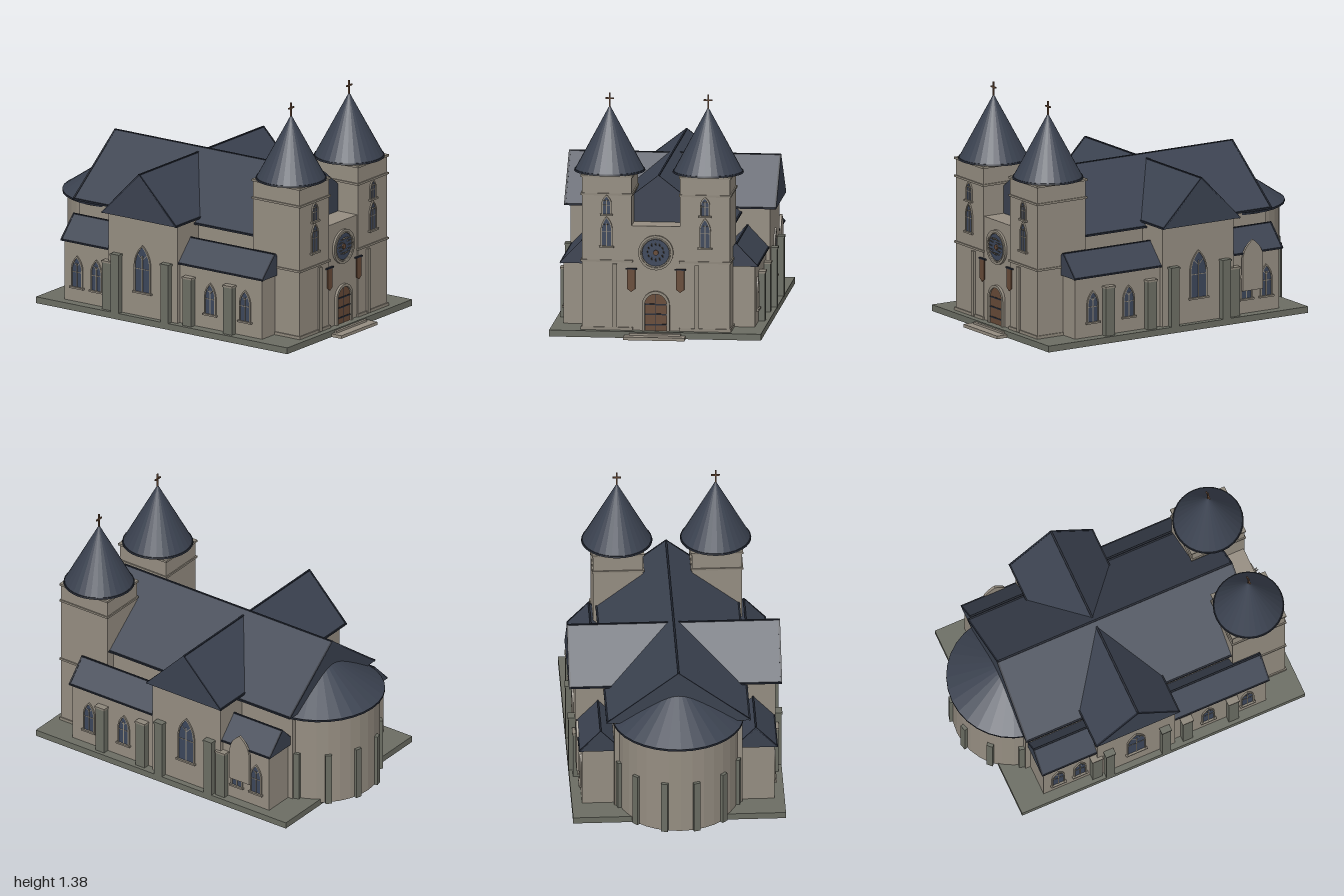
import * as THREE from 'three';

const mat = (name, color) => {
  const m = new THREE.MeshStandardMaterial({ color });
  m.name = name;
  return m;
};

export function createModel() {
  const stone = mat('wall stone', 0x958d81);
  const trimStone = mat('trim stone', 0x8d867a);
  const grey = mat('grey stone', 0x6b6d63);
  const slate = mat('roof slate', 0x3b4250);
  const edge = mat('dark roof edge', 0x232833);
  const glass = mat('window glass', 0x3c465a);
  const wood = mat('brown wood', 0x674a37);

  const root = new THREE.Group();
  root.name = 'church';

  const add = (parent, name, geo, material, x = 0, y = 0, z = 0) => {
    const m = new THREE.Mesh(geo, material);
    m.name = name;
    m.position.set(x, y, z);
    parent.add(m);
    return m;
  };
  // box given by its extents
  const box = (parent, name, material, x0, x1, y0, y1, z0, z1) =>
    add(parent, name, new THREE.BoxGeometry(x1 - x0, y1 - y0, z1 - z0), material,
      (x0 + x1) / 2, (y0 + y1) / 2, (z0 + z1) / 2);
  const group = (name, parent = root) => {
    const g = new THREE.Group();
    g.name = name;
    parent.add(g);
    return g;
  };
  // square bar between two points
  const bar = (parent, name, material, a, b, t) => {
    const p = new THREE.Vector3(...a), q = new THREE.Vector3(...b);
    const m = add(parent, name, new THREE.BoxGeometry(t, t, p.distanceTo(q) + t * 0.6), material);
    m.position.copy(p).add(q).multiplyScalar(0.5);
    m.lookAt(q);
    return m;
  };
  const faceted = (geo) => {
    const g = geo.toNonIndexed();
    g.computeVertexNormals();
    return g;
  };
  const extrude = (shape, depth) =>
    new THREE.ExtrudeGeometry(shape, { depth, bevelEnabled: false, curveSegments: 10 });

  // pointed arch outline standing on y = 0
  const arch = (w, h, spring, Kind = THREE.Shape) => {
    const s = new Kind();
    s.moveTo(-w, 0);
    s.lineTo(w, 0);
    s.lineTo(w, spring);
    s.quadraticCurveTo(w * 0.92, spring + (h - spring) * 0.6, 0, h);
    s.quadraticCurveTo(-w * 0.92, spring + (h - spring) * 0.6, -w, spring);
    return s;
  };

  // closed gabled roof running along z, with dark edging
  const gableRoof = (name, half, y0, y1, z0, z1, t = 0.01) => {
    const g = group(name);
    const s = new THREE.Shape();
    s.moveTo(-half, y0);
    s.lineTo(half, y0);
    s.lineTo(0, y1);
    add(g, 'roofSlopes', extrude(s, z1 - z0), slate, 0, 0, z0);
    const i = t / 2;
    bar(g, 'ridge', edge, [0, y1 - i, z0 + i], [0, y1 - i, z1 - i], t);
    for (const k of [-1, 1]) {
      bar(g, 'eave', edge, [k * (half - i), y0 + i * 0.5, z0 + i], [k * (half - i), y0 + i * 0.5, z1 - i], t);
      for (const z of [z0 + i, z1 - i])
        bar(g, 'rake', edge, [k * (half - i), y0 + i * 0.5, z], [0, y1 - i, z], t);
    }
    return g;
  };

  // window facing +z, with its sill at the group's origin
  const gothicWindow = (parent, half, h) => {
    const g = group('window', parent);
    const spring = h * 0.58, f = 0.006;
    add(g, 'glass', extrude(arch(half, h, spring), 0.004), glass);
    const frame = arch(half + f, h + f * 1.3, spring);
    frame.holes.push(arch(half - 0.002, h - 0.003, spring, THREE.Path));
    add(g, 'frame', extrude(frame, 0.009), trimStone);
    box(g, 'mullion', trimStone, -0.003, 0.003, 0, h * 0.8, 0, 0.007);
    box(g, 'transom', trimStone, -half, half, h * 0.5 - 0.002, h * 0.5 + 0.002, 0, 0.006);
    for (const k of [-1, 1])
      bar(g, 'tracery', trimStone, [0, h * 0.7, 0.003], [k * half * 0.7, h * 0.84, 0.003], 0.004);
    box(g, 'sill', trimStone, -half - 0.014, half + 0.014, -0.01, 0, 0, 0.016);
    return g;
  };
  const sideWindow = (k, x, y, z, half, h) => {
    const w = gothicWindow(root, half, h);
    w.position.set(k * x, y, z);
    w.rotation.y = k * Math.PI / 2;
  };

  // plinth and front steps
  box(root, 'plinth', grey, -0.605, 0.605, 0, 0.037, -0.83, 0.932);
  box(root, 'lowerStep', stone, -0.175, 0.175, 0, 0.018, 0.9, 1.0);
  box(root, 'upperStep', stone, -0.148, 0.148, 0.018, 0.03, 0.9, 0.948);

  // nave, facade and transept
  box(root, 'naveWalls', stone, -0.365, 0.365, 0.03, 0.6, -0.7, 0.74);
  gableRoof('naveRoof', 0.41, 0.587, 0.908, -0.715, 0.75);
  box(root, 'facade', stone, -0.15, 0.15, 0.03, 0.64, 0.7, 0.883);
  box(root, 'transeptWalls', stone, -0.57, 0.57, 0.03, 0.625, -0.345, 0.137);
  const transeptRoof = gableRoof('transeptRoof', 0.262, 0.615, 0.885, -0.606, 0.606);
  transeptRoof.rotation.y = Math.PI / 2;
  transeptRoof.position.z = -0.108;

  // side aisles, buttresses and their windows
  const buttress = (k, x0, x1, y, z, w) => {
    const g = group('buttress');
    const [a, b] = k > 0 ? [x0, x1] : [-x1, -x0];
    box(g, 'shaft', grey, a, b, 0.03, y, z - w, z + w);
    box(g, 'cap', k && y < 0.35 ? trimStone : grey, a - 0.004, b + 0.004, y - 0.008, y + 0.003, z - w - 0.004, z + w + 0.004);
  };
  for (const k of [-1, 1]) {
    const [a, b] = k > 0 ? [0.33, 0.547] : [-0.547, -0.33];
    box(root, 'aisleWalls', stone, a, b, 0.03, 0.4, -0.67, 0.715);
    gableRoof('aisleRoof', 0.125, 0.388, 0.52, -0.687, 0.73, 0.009).position.x = k * 0.441;
    for (const z of [0.498, 0.213, -0.35]) buttress(k, 0.54, 0.584, 0.322, z, 0.031);
    for (const z of [0.07, -0.278]) buttress(k, 0.56, 0.606, 0.38, z, 0.027);
    for (const z of [0.597, 0.353, -0.445, -0.58]) sideWindow(k, 0.547, 0.125, z, 0.034, 0.175);
    sideWindow(k, 0.57, 0.182, -0.105, 0.052, 0.268);
  }
  // plain pointed stone panel over one aisle wall
  const panel = add(root, 'archedPanel', extrude(arch(0.068, 0.295, 0.19), 0.014), stone, 0.558, 0.173, -0.477);
  panel.rotation.y = Math.PI / 2;

  // rounded apse with radial buttresses
  const apse = group('apse');
  apse.position.z = -0.62;
  add(apse, 'apseWall', faceted(new THREE.CylinderGeometry(0.345, 0.345, 0.555, 32)), stone, 0, 0.2925, 0);
  add(apse, 'apseEave', new THREE.CylinderGeometry(0.375, 0.375, 0.012, 32), edge, 0, 0.566, 0);
  add(apse, 'apseRoof', faceted(new THREE.ConeGeometry(0.372, 0.25, 32)), slate, 0, 0.697, 0);
  for (const deg of [-75, -45, -15, 15, 45, 75]) {
    const arm = group('apseButtress', apse);
    arm.rotation.y = deg * Math.PI / 180;
    box(arm, 'shaft', grey, -0.019, 0.019, 0.015, 0.33, -0.363, -0.32);
  }

  // twin towers
  for (const k of [-1, 1]) {
    const t = group('tower');
    t.position.set(k * 0.281, 0, 0.725);
    box(t, 'shaft', stone, -0.142, 0.142, 0.03, 0.93, -0.163, 0.163);
    for (const [y0, y1] of [[0.037, 0.054], [0.43, 0.442], [0.814, 0.826], [0.918, 0.931]])
      box(t, 'band', trimStone, -0.149, 0.149, y0, y1, -0.17, 0.17);
    const px = -k * 0.047;
    box(t, 'pilaster', trimStone, px - 0.013, px + 0.013, 0.04, 0.42, 0.16, 0.175);
    gothicWindow(t, 0.028, 0.162).position.set(0, 0.523, 0.163);
    gothicWindow(t, 0.023, 0.102).position.set(0, 0.707, 0.163);
    add(t, 'spireEave', new THREE.CylinderGeometry(0.2, 0.203, 0.01, 32), edge, 0, 0.935, 0);
    add(t, 'spire', faceted(new THREE.ConeGeometry(0.197, 0.368, 32)), slate, 0, 1.122, 0);
    box(t, 'crossPost', wood, -0.004, 0.004, 1.29, 1.376, -0.004, 0.004);
    box(t, 'crossArm', wood, -0.025, 0.025, 1.341, 1.349, -0.004, 0.004);
  }

  // rose window
  const rose = group('roseWindow');
  rose.position.set(0, 0.488, 0.883);
  const ring = new THREE.Shape().absarc(0, 0, 0.1, 0, Math.PI * 2);
  ring.holes.push(new THREE.Path().absarc(0, 0, 0.08, 0, Math.PI * 2, true));
  add(rose, 'ring', new THREE.ExtrudeGeometry(ring, { depth: 0.014, bevelEnabled: false, curveSegments: 32 }), trimStone);
  add(rose, 'innerRing', new THREE.TorusGeometry(0.082, 0.005, 6, 32), trimStone, 0, 0, 0.013);
  add(rose, 'glass', new THREE.CircleGeometry(0.082, 32), glass, 0, 0, 0.004);
  for (let i = 0; i < 12; i++) {
    const a = (i / 12) * Math.PI * 2, c = Math.cos(a), s = Math.sin(a);
    bar(rose, 'spoke', trimStone, [c * 0.012, s * 0.012, 0.006], [c * 0.08, s * 0.08, 0.006], 0.005);
  }
  add(rose, 'hub', new THREE.CylinderGeometry(0.015, 0.015, 0.012, 16), wood, 0, 0, 0.007).rotation.x = Math.PI / 2;

  // front door in its arched surround
  const door = group('door');
  door.position.set(0, 0.037, 0.883);
  const roundArch = (w, spring, Kind = THREE.Shape) => {
    const s = new Kind();
    s.moveTo(-w, 0);
    s.lineTo(w, 0);
    s.lineTo(w, spring);
    s.absarc(0, spring, w, 0, Math.PI, false);
    return s;
  };
  const surround = roundArch(0.079, 0.15);
  surround.holes.push(roundArch(0.063, 0.15, THREE.Path));
  add(door, 'surround', extrude(surround, 0.016), trimStone);
  add(door, 'leaves', extrude(roundArch(0.064, 0.15), 0.006), wood);
  for (const y of [0.035, 0.095, 0.152]) box(door, 'ironBand', edge, -0.062, 0.062, y - 0.004, y + 0.004, 0, 0.009);
  box(door, 'doorSeam', edge, -0.001, 0.001, 0, 0.212, 0, 0.0075);

  // hanging banners
  for (const k of [-1, 1]) {
    const b = group('banner');
    b.position.set(k * 0.14, 0, 0.892);
    const s = new THREE.Shape();
    s.moveTo(-0.023, 0.39);
    s.lineTo(-0.023, 0.277);
    s.lineTo(0, 0.26);
    s.lineTo(0.023, 0.277);
    s.lineTo(0.023, 0.39);
    add(b, 'cloth', extrude(s, 0.005), wood);
    box(b, 'rod', edge, -0.031, 0.031, 0.389, 0.397, -0.006, 0.008);
  }
  return root;
}
